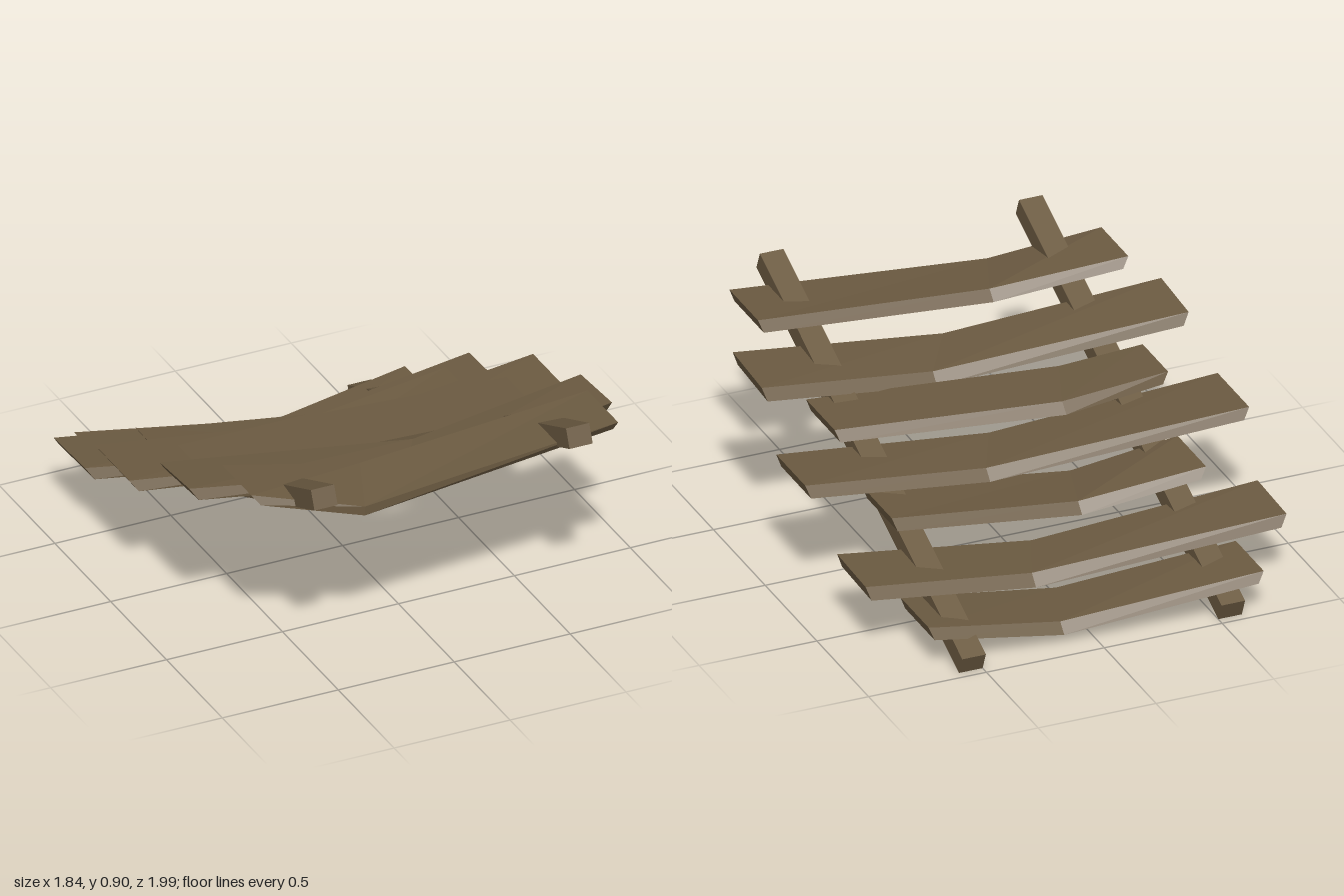
import * as THREE from 'three';

const wood = new THREE.MeshStandardMaterial({ color: 0x6b5a41, flatShading: true });

// Bent plank lofted through three sections: right end (-x), bend, left end (+x).
// Each section: back [x, bottom y, z] and front [x, bottom y, z], plus how far the
// underside sticks out beyond the top at the back and at the front.
function plankGeometry(sections, thickness) {
  const pos = [];
  const rings = sections.map(({ back, front, lipBack, lipFront, inset }) => [
    [back[0] - inset, back[1], back[2]],
    [front[0] - inset, front[1], front[2] + lipFront],
    [front[0], front[1] + thickness, front[2]],
    [back[0], back[1] + thickness, back[2] + lipBack],
  ]);
  const quad = (a, b, c, d) => pos.push(...a, ...b, ...c, ...a, ...c, ...d);
  for (let s = 0; s < rings.length - 1; s++) {
    const p = rings[s], q = rings[s + 1];
    for (let i = 0; i < 4; i++) {
      const j = (i + 1) % 4;
      quad(p[i], q[i], q[j], p[j]);
    }
  }
  const first = rings[0], last = rings[rings.length - 1];
  quad(first[0], first[1], first[2], first[3]);
  quad(last[3], last[2], last[1], last[0]);
  const g = new THREE.BufferGeometry();
  g.setAttribute('position', new THREE.Float32BufferAttribute(pos, 3));
  g.computeVertexNormals();
  return g;
}

// w: half length, y: underside at ends, t: thickness, tilt: front rise at the ends
// a / b: [back z, front z] at the -x / +x end
// mb / mf: bend at the back / front edge as [x, underside y, z]
const planks = [
  { w: 0.765, y: 0.78, t: 0.04, tilt: 0, a: [0.49, 0.77], b: [0.57, 0.88], mb: [-0.22, 0.705, 0.57], mf: [-0.33, 0.68, 0.885] },
  { w: 0.885, y: 0.655, t: 0.045, tilt: 0.02, a: [0.18, 0.465], b: [0.26, 0.575], mb: [0.15, 0.56, 0.275], mf: [0.0, 0.575, 0.56] },
  { w: 0.69, y: 0.56, t: 0.04, tilt: 0, a: [-0.065, 0.2], b: [0.0, 0.31], mb: [-0.23, 0.54, -0.11], mf: [-0.34, 0.535, 0.21] },
  { w: 0.92, y: 0.48, t: 0.042, tilt: 0, a: [-0.325, 0.0], b: [-0.24, 0.075], mb: [0.15, 0.39, -0.24], mf: [0.02, 0.385, 0.07] },
  { w: 0.645, y: 0.38, t: 0.042, tilt: 0, a: [-0.535, -0.24], b: [-0.45, -0.13], mb: [-0.15, 0.28, -0.445], mf: [-0.24, 0.255, -0.12] },
  { w: 0.87, y: 0.25, t: 0.045, tilt: 0.01, a: [-0.8, -0.5], b: [-0.71, -0.4], mb: [0.16, 0.155, -0.705], mf: [0.05, 0.15, -0.41] },
  { w: 0.69, y: 0.135, t: 0.04, tilt: 0, a: [-0.99, -0.7], b: [-0.91, -0.6], mb: [0.13, 0.04, -0.91], mf: [0.03, 0.035, -0.6] },
];

export function createModel() {
  const model = new THREE.Group();

  // Two sloping rails, high at the front
  for (const side of [-1, 1]) {
    const rail = new THREE.Mesh(new THREE.BoxGeometry(0.1, 0.082, 2.125), wood);
    rail.position.set(side * 0.55, 0.451, 0);
    rail.rotation.x = -0.4;
    rail.name = side > 0 ? 'leftRail' : 'rightRail';
    model.add(rail);
  }

  // Uneven sagging planks laid across the rails
  planks.forEach(({ w, y, t, tilt, a, b, mb, mf }, i) => {
    const end = (x, z, lipBack, lipFront, inset) => ({
      back: [x, y, z[0]], front: [x, y + tilt, z[1]], lipBack, lipFront, inset,
    });
    const plank = new THREE.Mesh(plankGeometry([
      end(-w, a, 0.02, 0.025, -0.03),
      { back: mb, front: mf, lipBack: 0.04, lipFront: 0, inset: 0 },
      end(w, b, 0.035, -0.025, 0.01),
    ], t), wood);
    plank.name = `plank${i + 1}`;
    model.add(plank);
  });

  return model;
}
